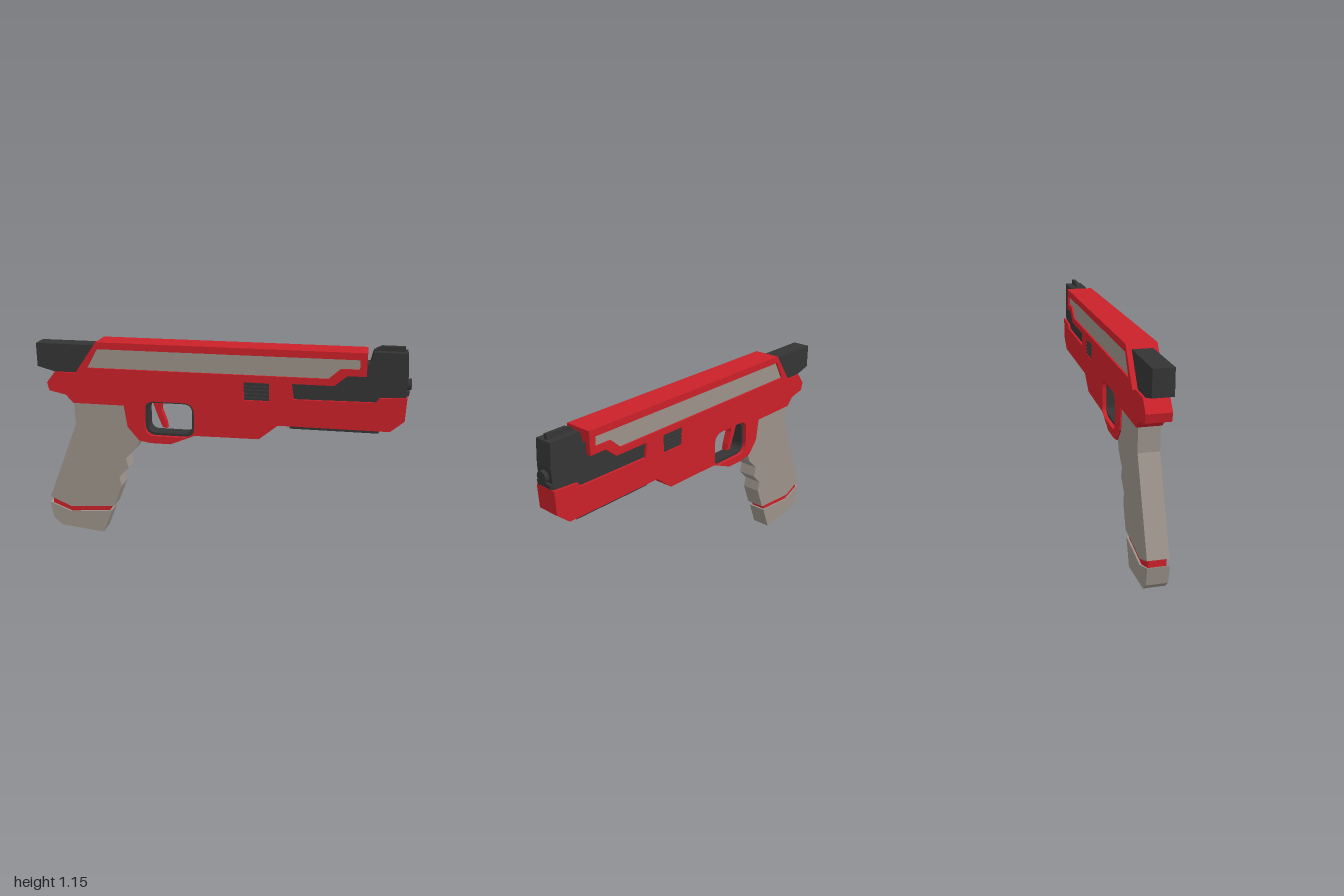
import * as THREE from 'three';

const paint = (color) => new THREE.MeshStandardMaterial({ color, flatShading: true });
const red = paint(0xca2029), dark = paint(0x343434), grey = paint(0x9a9189);

const points = (list) => list.map(([x, y]) => new THREE.Vector2(x, y));

// Side profile extruded evenly about z = 0
function slab(name, outline, halfWidth, material, holes = []) {
  const shape = new THREE.Shape(points(outline));
  for (const hole of holes) shape.holes.push(new THREE.Path(points(hole)));
  const geometry = new THREE.ExtrudeGeometry(shape, { depth: halfWidth * 2, bevelEnabled: false });
  geometry.translate(0, 0, -halfWidth);
  const mesh = new THREE.Mesh(geometry, material);
  mesh.name = name;
  return mesh;
}

function box(name, x0, x1, y0, y1, halfWidth, material) {
  return slab(name, [[x0, y0], [x1, y0], [x1, y1], [x0, y1]], halfWidth, material);
}

// Corner points of a rounded rectangle
function roundedRect(x0, x1, y0, y1, r) {
  const corners = [[x1 - r, y1 - r], [x0 + r, y1 - r], [x0 + r, y0 + r], [x1 - r, y0 + r]];
  const list = [];
  corners.forEach(([cx, cy], i) => {
    for (let k = 0; k <= 4; k++) {
      const a = (i + k / 4) * Math.PI / 2;
      list.push([cx + r * Math.cos(a), cy + r * Math.sin(a)]);
    }
  });
  return list;
}

export function createModel() {
  const model = new THREE.Group();
  model.name = 'pistol';

  // Frame with trigger opening, vent window and notch for the barrel housing
  const guardOpening = roundedRect(-0.402, -0.128, 0.61, 0.806, 0.05);
  const ventWindow = [[0.145, 0.84], [0.275, 0.84], [0.275, 0.938], [0.138, 0.938]];
  model.add(slab('frame', [
    [-0.9, 0.946], [-0.948, 0.885], [-0.938, 0.84], [-0.845, 0.82], [-0.803, 0.775],
    [-0.517, 0.775], [-0.5, 0.655], [-0.437, 0.58], [-0.375, 0.568], [-0.26, 0.568],
    [-0.125, 0.625], [0.225, 0.628], [0.325, 0.71], [0.905, 0.71], [0.975, 0.77],
    [0.98, 0.895], [0.84, 0.885], [0.825, 0.862], [0.405, 0.857], [0.39, 0.946],
  ], 0.061, red, [guardOpening, ventWindow]));

  // Trigger guard lining and trigger
  model.add(slab('guardLining', guardOpening, 0.04, dark,
    [roundedRect(-0.388, -0.142, 0.624, 0.794, 0.04)]));
  model.add(slab('trigger', [
    [-0.36, 0.8], [-0.36, 0.78], [-0.343, 0.73], [-0.312, 0.652], [-0.287, 0.645],
    [-0.293, 0.68], [-0.318, 0.75], [-0.312, 0.8],
  ], 0.02, red));

  // Side vents
  model.add(box('ventCore', 0.13, 0.285, 0.83, 0.942, 0.046, dark));
  for (let i = 0; i < 5; i++) {
    const y = 0.843 + i * 0.02;
    model.add(box('ventRib', 0.14, 0.274, y, y + 0.013, 0.06, dark));
  }

  // Slide cover with recessed panels on both sides
  const panel = [[-0.65, 1.085], [-0.71, 0.98], [0.58, 0.98], [0.64, 1.035],
    [0.735, 1.035], [0.735, 1.085]];
  model.add(slab('slideCover', [
    [-0.655, 1.122], [-0.78, 0.945], [0.61, 0.945], [0.675, 1.0], [0.77, 1.0], [0.77, 1.122],
  ], 0.075, red, [panel]));
  model.add(slab('slidePanel', panel, 0.065, grey));

  // Rear of the slide
  model.add(slab('slideRear', [
    [-1, 1.1], [-1, 0.972], [-0.9, 0.945], [-0.66, 0.945], [-0.6, 1.1],
  ], 0.05, dark));

  // Barrel housing at the front
  model.add(slab('barrelHousing', [
    [0.385, 0.96], [0.385, 0.845], [0.972, 0.845], [0.978, 1.0], [0.97, 1.122],
    [0.8, 1.122], [0.785, 1.06], [0.7, 1.06], [0.6, 0.96],
  ], 0.048, dark));
  model.add(slab('muzzleStep', [
    [0.96, 0.9], [0.985, 0.9], [0.99, 0.925], [0.96, 0.925],
  ], 0.045, dark));
  const muzzle = new THREE.Mesh(new THREE.CylinderGeometry(0.03, 0.03, 0.06, 16), dark);
  muzzle.name = 'muzzle';
  muzzle.rotation.z = Math.PI / 2;
  muzzle.position.set(0.968, 0.953, 0);
  model.add(muzzle);
  model.add(slab('frontSight', [
    [0.8, 1.115], [0.955, 1.115], [0.955, 1.148], [0.84, 1.148], [0.81, 1.135],
  ], 0.01, dark));

  // Rail under the barrel
  model.add(box('underRail', 0.385, 0.85, 0.692, 0.72, 0.043, dark));

  // Grip with finger notches, red band and base
  model.add(slab('grip', [
    [-0.803, 0.78], [-0.8, 0.65], [-0.98, 0.2], [-0.86, 0.147], [-0.6, 0.167],
    [-0.55, 0.295], [-0.563, 0.35], [-0.505, 0.41], [-0.52, 0.465], [-0.455, 0.53],
    [-0.435, 0.58], [-0.5, 0.65], [-0.515, 0.78],
  ], 0.053, grey));
  model.add(slab('gripBand', [
    [-0.968, 0.21], [-0.968, 0.14], [-0.86, 0.1], [-0.635, 0.12], [-0.618, 0.18], [-0.86, 0.165],
  ], 0.043, red));
  model.add(slab('gripBase', [
    [-0.985, 0.165], [-0.97, 0.07], [-0.92, 0.025], [-0.67, 0], [-0.617, 0.137], [-0.86, 0.115],
  ], 0.053, grey));

  return model;
}
